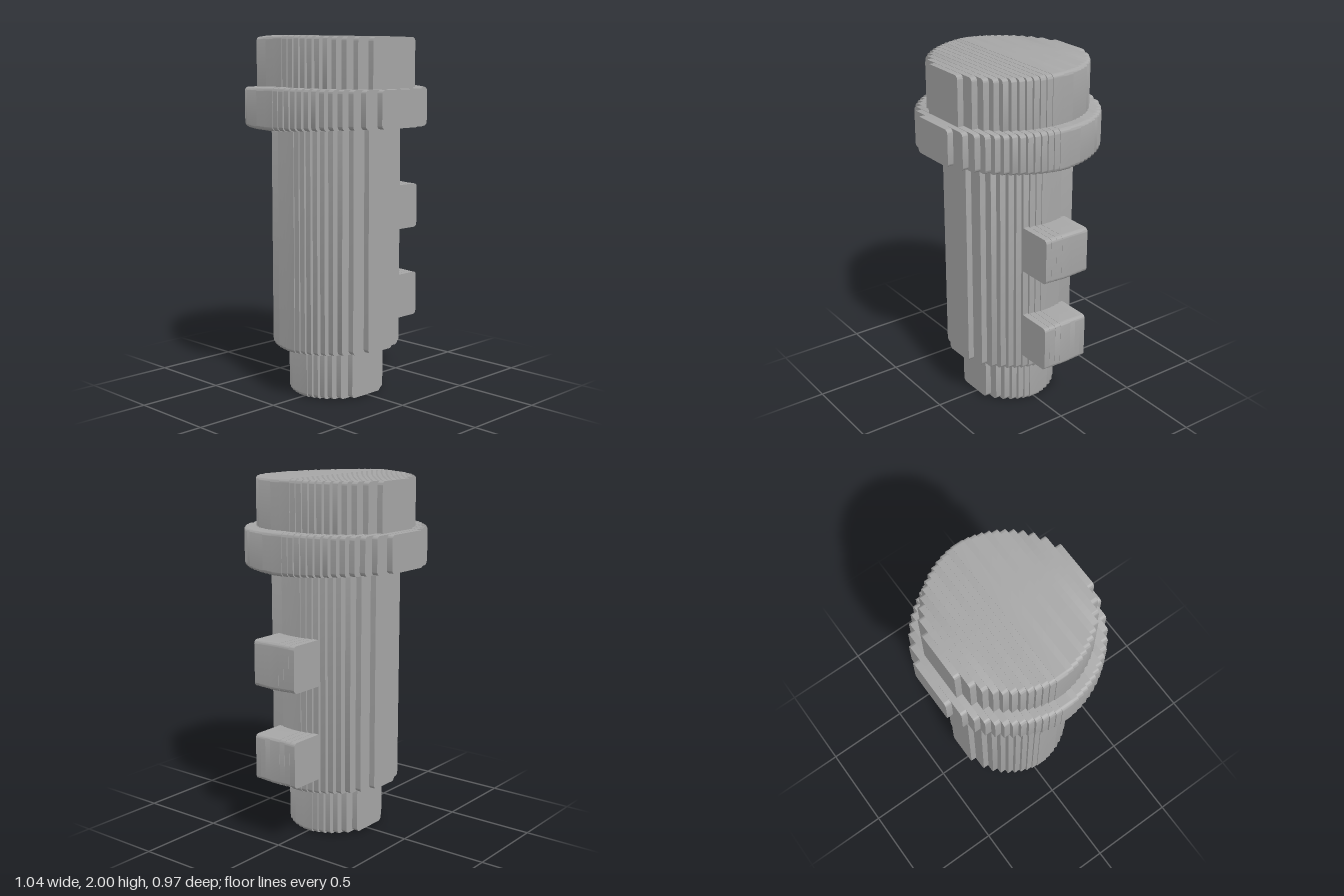
import * as THREE from 'three';
import { mergeGeometries, toCreasedNormals } from 'three/addons/utils/BufferGeometryUtils.js';

const STEP = 0.0345;   // thickness of one layer along z
const AXIS = -0.015;   // x of the round axis

const gray = new THREE.MeshStandardMaterial({ color: 0xa6a6a6 });
gray.name = 'gray';

// Plate with rounded corners in xy, centred on z = 0
function plate(x0, x1, y0, y1, halfDepth, r) {
  const s = new THREE.Shape();
  s.moveTo(x0 + r, y0);
  s.absarc(x1 - r, y0 + r, r, -Math.PI / 2, 0);
  s.absarc(x1 - r, y1 - r, r, 0, Math.PI / 2);
  s.absarc(x0 + r, y1 - r, r, Math.PI / 2, Math.PI);
  s.absarc(x0 + r, y0 + r, r, Math.PI, Math.PI * 1.5);
  const g = new THREE.ExtrudeGeometry(s, { depth: 2 * halfDepth, bevelEnabled: false, curveSegments: 4 });
  g.translate(0, 0, -halfDepth);
  return toCreasedNormals(g, 0.6);
}

// Nested plates: each deeper one is a little lower and narrower
function layered(name, count, y0, y1, spanX, r = 0.022) {
  const plates = [];
  for (let k = 1; k <= count; k++) {
    const z = k * STEP;
    const inset = 0.03 * (z - STEP);
    const [x0, x1] = spanX(z, inset);
    plates.push(plate(x0, x1, y0 + inset, y1 - inset, z, r));
  }
  const mesh = new THREE.Mesh(mergeGeometries(plates), gray);
  mesh.name = name;
  return mesh;
}

// Stepped cylinder made of layers
function drum(name, radius, count, y0, y1) {
  return layered(name, count, y0, y1, (z) => {
    const w = Math.sqrt(radius * radius - z * z);
    return [AXIS - w, AXIS + w];
  });
}

export function createModel() {
  const group = new THREE.Group();
  group.name = 'layeredPin';

  group.add(
    drum('base', 0.267, 7, 0, 0.32),
    drum('shaft', 0.358, 10, 0.27, 1.55),
    drum('collar', 0.504, 14, 1.5, 1.73),
    drum('cap', 0.437, 12, 1.66, 2)
  );

  // Two teeth on the side of the shaft
  [['lowerTooth', 0.36], ['upperTooth', 0.888]].forEach(([name, y]) => {
    group.add(layered(name, 4, y, y + 0.264, (z, inset) => [0.2, 0.52 - inset]));
  });

  return group;
}
